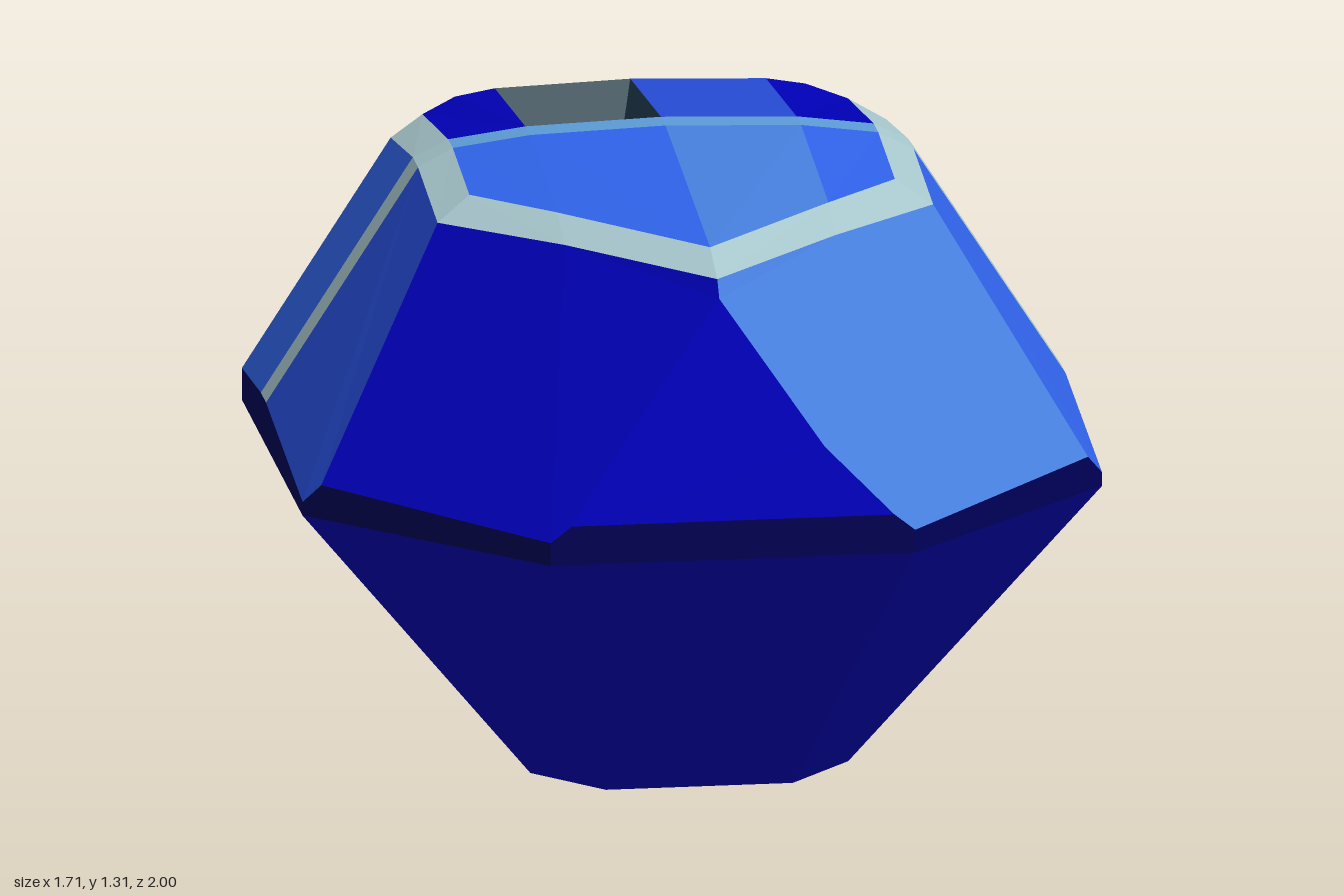
import * as THREE from 'three';

const paint = (name, color) => {
  const m = new THREE.MeshStandardMaterial({ color, side: THREE.DoubleSide, flatShading: true });
  m.name = name;
  return m;
};

export function createModel() {
  const model = new THREE.Group();
  model.name = 'facetedPod';

  const deepBlue = paint('deep blue', 0x0000b8);
  const navy = paint('navy', 0x000058);
  const royal = paint('royal blue glass', 0x3062e8);
  const cobalt = paint('cobalt glass', 0x264cd6);
  const light = paint('light blue glass', 0x467edc);
  const sky = paint('sky blue', 0x5c9cd6);
  const silver = paint('silver', 0xa6c6cc);
  const pale = paint('pale steel', 0x92b0c2);
  const slate = paint('slate', 0x26445c);
  const dark = paint('dark green', 0x04201c);

  // Flat faceted mesh from polygons, each split as a fan and turned outward
  const centre = new THREE.Vector3(0, 0.65, 0);
  function facets(name, material, polygons) {
    const out = [];
    for (const polygon of polygons) {
      const p = polygon.map((c) => new THREE.Vector3(...c));
      for (let i = 1; i < p.length - 1; i++) {
        const tri = [p[0], p[i], p[i + 1]];
        const n = tri[1].clone().sub(tri[0]).cross(tri[2].clone().sub(tri[0]));
        if (n.dot(tri[0].clone().sub(centre)) < 0) tri.reverse();
        tri.forEach((v) => out.push(v.x, v.y, v.z));
      }
    }
    const geometry = new THREE.BufferGeometry();
    geometry.setAttribute('position', new THREE.Float32BufferAttribute(out, 3));
    geometry.computeVertexNormals();
    const mesh = new THREE.Mesh(geometry, material);
    mesh.name = name;
    model.add(mesh);
  }
  const mirror = (pts) => pts.map(([x, y, z]) => [-x, y, z]);
  const loop = (half) => [...half, ...mirror(half).reverse()];
  const band = (a, b, closed) => {
    const quads = [];
    for (let i = 0; i < a.length - (closed ? 0 : 1); i++) {
      const j = (i + 1) % a.length;
      quads.push([a[i], a[j], b[j], b[i]]);
    }
    return quads;
  };

  // Lower hull: tapering octagon with a flat floor
  const floor = loop([[0.2, 0, 0.485], [0.34, 0, 0.33], [0.34, 0, -0.18], [0.04, 0, -0.485]]);
  const girdle = loop([[0.39, 0.64, 1], [0.855, 0.64, 0.53], [0.855, 0.64, -0.4], [0.26, 0.64, -1]]);
  facets('lowerHull', deepBlue, band(floor, girdle, true));
  facets('hullFloor', deepBlue, [floor]);

  // Rim with its stepped upper edge
  const rimTop = loop([
    [0.345, 0.725, 1], [0.39, 0.69, 1], [0.82, 0.715, 0.565], [0.855, 0.67, 0.53],
    [0.855, 0.735, -0.03], [0.855, 0.735, -0.11], [0.855, 0.71, -0.4], [0.835, 0.73, -0.42], [0.26, 0.73, -1],
  ]);
  facets('rim', navy, band(rimTop.map(([x, , z]) => [x, 0.64, z]), rimTop, true));

  // Canopy frame: outer and inner edges, front tip to back
  const outer = [[0, 1.19, 0.76], [0.29, 1.205, 0.5], [0.53, 1.2, 0.27],
    [0.53, 1.24, -0.03], [0.53, 1.24, -0.11], [0.53, 1.19, -0.45]];
  const inner = [[0, 1.23, 0.65], [0.29, 1.245, 0.385], [0.455, 1.245, 0.22],
    [0.455, 1.278, -0.035], [0.455, 1.278, -0.105], [0.455, 1.225, -0.5]];

  // Roof cross sections, from the centre outward
  const ridge = (z) => [[0, 1.31, z], [0.29, 1.3, z], [0.455, 1.278, z]];
  const ridgeFront = ridge(-0.035), ridgeBack = ridge(-0.105);
  const backEdge = [[0, 1.265, -0.575], [0.29, 1.255, -0.575], [0.375, 1.24, -0.575]];
  const backFoot = [0.26, 0.73, -1], backMid = [0, 0.73, -1];
  const backSplit = [0.29, 0.863, -0.889];
  const tip = [0, 1.155, 0.79];
  const bow = [0.205, 0.863, 0.94];

  for (const side of [1, -1]) {
    const left = side > 0;
    const s = (pts) => (left ? pts : mirror(pts));
    const tag = left ? 'Left' : 'Right';

    facets('canopyFrame' + tag, silver, band(s(outer), s(inner)));
    facets('sideRib' + tag, silver,
      [s([outer[3], outer[4], [0.855, 0.735, -0.11], [0.855, 0.735, -0.03]])]);
    facets('roofRib' + tag, sky, band(s(ridgeFront), s(ridgeBack)));

    // Side windows
    facets('sideFrontPanel' + tag, left ? royal : cobalt,
      [s([outer[3], outer[2], [0.82, 0.715, 0.565], [0.855, 0.67, 0.53], [0.855, 0.735, -0.03]])]);
    facets('sideRearPanel' + tag, left ? light : royal,
      [s([outer[4], outer[5], [0.855, 0.71, -0.4], [0.855, 0.735, -0.11]])]);

    // Front diagonal panel; only the glass one bows along its lower edge
    const lowerEdge = left ? [[0.345, 0.725, 0.995], bow] : [[0.345, 0.725, 0.995]];
    facets('frontPanel' + tag, left ? light : deepBlue,
      [s([outer[1], outer[2], [0.82, 0.715, 0.565], [0.39, 0.69, 1], ...lowerEdge, tip, outer[0]])]);

    // Forward roof panes
    const panes = band(s(inner.slice(0, 3)), s(ridgeFront));
    facets('roofPaneInner' + tag, left ? light : royal, [panes[0]]);
    facets('roofPaneOuter' + tag, royal, [panes[1]]);

    // Rear roof edge plate
    facets('rearRoofPlate' + tag, deepBlue,
      [s([ridgeBack[1], ridgeBack[2], inner[5], backEdge[2], backEdge[1]])]);

    // Back panels
    facets('backPanel' + tag, left ? slate : pale,
      [s([backMid, backEdge[0], backEdge[1], backSplit, backFoot])]);
    facets('backWedge' + tag, slate, [s([backEdge[1], backEdge[2], backSplit])]);
  }

  // One-sided parts: the opposite bays stay open
  facets('rearRoofPane', cobalt, [[ridgeBack[0], ridgeBack[1], backEdge[1], backEdge[0]]]);
  facets('backDiagonalPanel', dark,
    [mirror([backFoot, backEdge[2], inner[5], outer[5], [0.855, 0.71, -0.4], [0.835, 0.73, -0.42]])]);

  // Front triangle under the canopy tip, following the bowed glass edge
  facets('frontTriangle', deepBlue, [[[-0.345, 0.725, 0.995], [0.345, 0.725, 0.995], bow, tip]]);

  return model;
}
